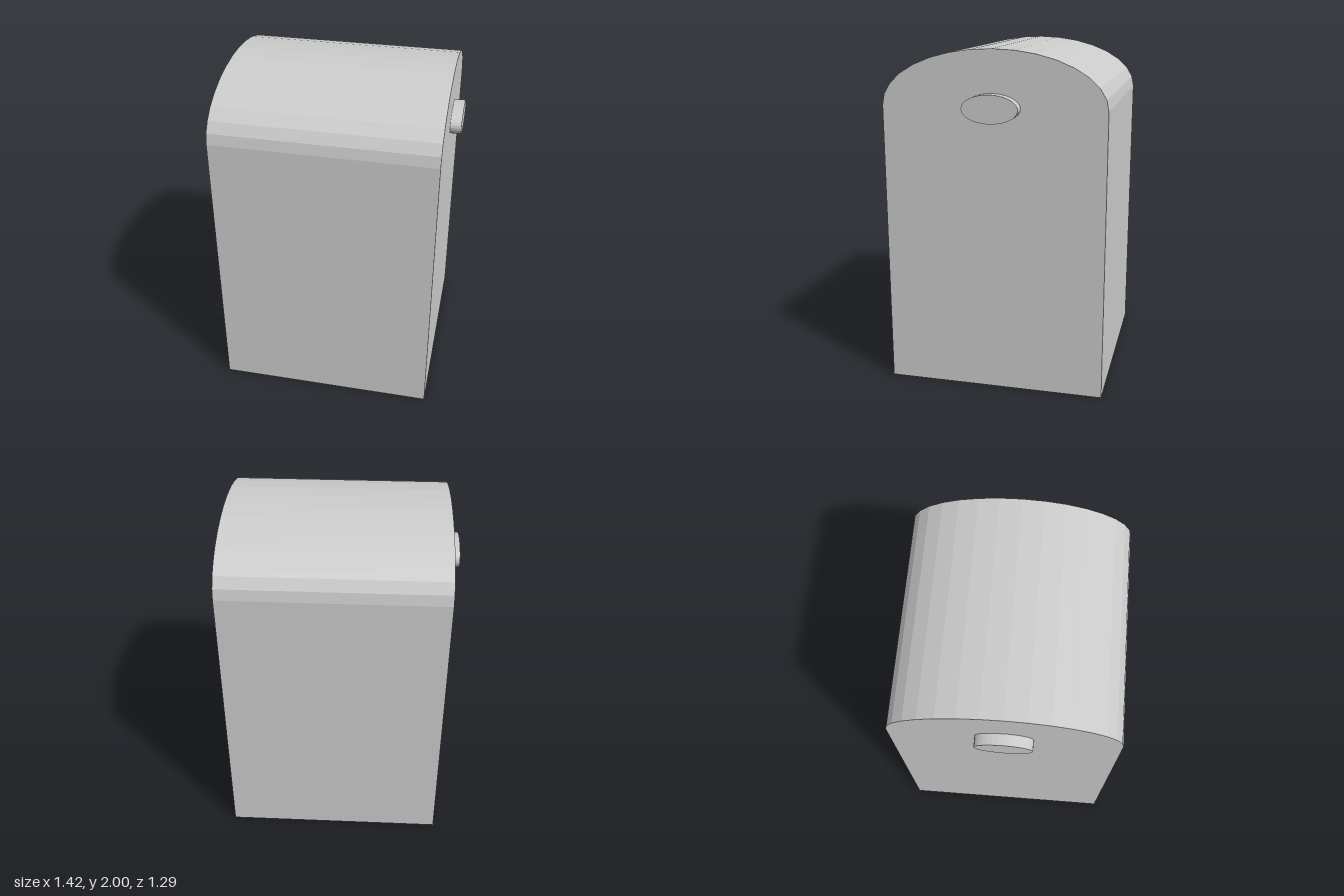
import * as THREE from 'three';

const HALF = 0.645;    // half width and depth of the body
const SPRING = 1.677;  // height where the arched top begins
const PIN_END = 0.71;

export function createModel() {
  const group = new THREE.Group();
  const material = new THREE.MeshStandardMaterial({ color: 0xcccccc, flatShading: true });

  // Upright block with a half-elliptical top, extruded across the width
  const profile = new THREE.Shape();
  profile.moveTo(-HALF, 0);
  profile.lineTo(HALF, 0);
  profile.lineTo(HALF, SPRING);
  profile.absellipse(0, SPRING, HALF, 2 - SPRING, 0, Math.PI, false, 0);
  profile.closePath();
  const bodyGeometry = new THREE.ExtrudeGeometry(profile, {
    depth: 2 * HALF, bevelEnabled: false, curveSegments: 8,
  });
  bodyGeometry.translate(0, 0, -HALF).rotateY(Math.PI / 2);
  const body = new THREE.Mesh(bodyGeometry, material);
  body.name = 'body';
  group.add(body);

  // Flattened round pins on both sides
  const length = PIN_END - HALF;
  const pinGeometry = new THREE.CylinderGeometry(0.161, 0.161, length, 32);
  pinGeometry.rotateZ(Math.PI / 2).scale(1, 0.5, 1);
  for (const side of [1, -1]) {
    const pin = new THREE.Mesh(pinGeometry, material);
    pin.name = side > 0 ? 'leftPin' : 'rightPin';
    pin.position.set(side * (HALF + length / 2), SPRING, 0);
    group.add(pin);
  }
  return group;
}
